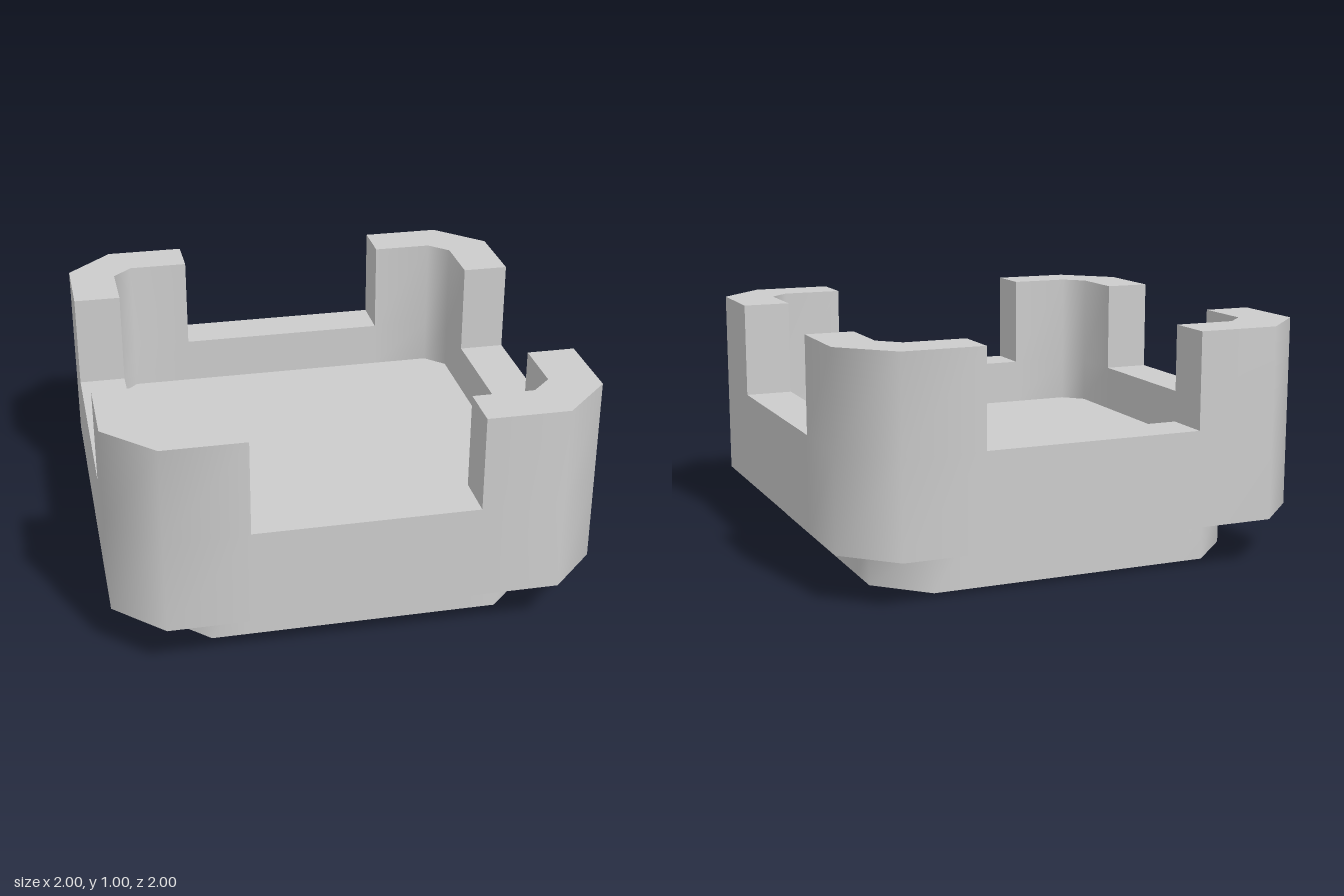
import * as THREE from 'three';
import { toCreasedNormals } from 'three/addons/utils/BufferGeometryUtils.js';

const NOTCH = 0.46; // half width of the side notches
const LEVEL = { bottom: 0, ledge: 0.2, floor: 0.4, notch: 0.6, top: 1 };

// Chamfered square outline: four points per side, starting at the front
function outline(half, chamfer) {
  const pts = [];
  for (let side = 0; side < 4; side++) {
    for (const u of [chamfer - half, -NOTCH, NOTCH, half - chamfer]) {
      let x = u, z = half;
      for (let k = 0; k < side; k++) [x, z] = [z, -x];
      pts.push([x, z]);
    }
  }
  return pts;
}

// Collects convex polygons and turns them into a mesh
function surface(name, material) {
  const pos = [];
  return {
    face(...p) {
      for (let i = 1; i < p.length - 1; i++) pos.push(...p[0], ...p[i], ...p[i + 1]);
    },
    mesh() {
      const geo = new THREE.BufferGeometry();
      geo.setAttribute('position', new THREE.Float32BufferAttribute(pos, 3));
      const mesh = new THREE.Mesh(toCreasedNormals(geo, 0.9), material);
      mesh.name = name;
      return mesh;
    },
  };
}

export function createModel() {
  const group = new THREE.Group();
  group.name = 'notchedTray';
  const material = new THREE.MeshStandardMaterial({ color: 0xcccccc });

  const outer = outline(1, 0.2);
  const inner = outline(0.8, 0.083);
  const foot = outline(0.8, 0.2);
  const at = ([x, z], y) => [x, y, z];

  const wall = surface('wallWithCornerPosts', material);
  const floor = surface('trayFloor', material);
  const base = surface('base', material);

  // Upright strip between two outline points, facing outward
  const strip = (part, a, b, y0, y1) =>
    part.face(at(a, y0), at(b, y0), at(b, y1), at(a, y1));

  for (let i = 0; i < 16; i++) {
    const j = (i + 1) % 16;
    const [oa, ob, ia, ib, fa, fb] = [outer[i], outer[j], inner[i], inner[j], foot[i], foot[j]];
    const isNotch = i % 4 === 1;
    const rim = isNotch ? LEVEL.notch : LEVEL.top;

    // Lower wall, outside and inside
    strip(wall, oa, ob, LEVEL.ledge, LEVEL.notch);
    strip(wall, ib, ia, LEVEL.floor, LEVEL.notch);

    // Corner posts, or the end faces beside a notch
    if (isNotch) {
      strip(wall, oa, ia, LEVEL.notch, LEVEL.top);
      strip(wall, ib, ob, LEVEL.notch, LEVEL.top);
    } else {
      strip(wall, oa, ob, LEVEL.notch, LEVEL.top);
      strip(wall, ib, ia, LEVEL.notch, LEVEL.top);
    }

    // Rim on top and overhang underneath
    wall.face(at(oa, rim), at(ob, rim), at(ib, rim), at(ia, rim));
    wall.face(at(fa, LEVEL.ledge), at(fb, LEVEL.ledge), at(ob, LEVEL.ledge), at(oa, LEVEL.ledge));

    // Floor inside the tray
    floor.face(at(ia, LEVEL.floor), at(ib, LEVEL.floor), [0, LEVEL.floor, 0]);

    // Base side and underside
    strip(base, fa, fb, LEVEL.bottom, LEVEL.ledge);
    base.face(at(fb, LEVEL.bottom), at(fa, LEVEL.bottom), [0, LEVEL.bottom, 0]);
  }

  group.add(wall.mesh(), floor.mesh(), base.mesh());
  return group;
}
